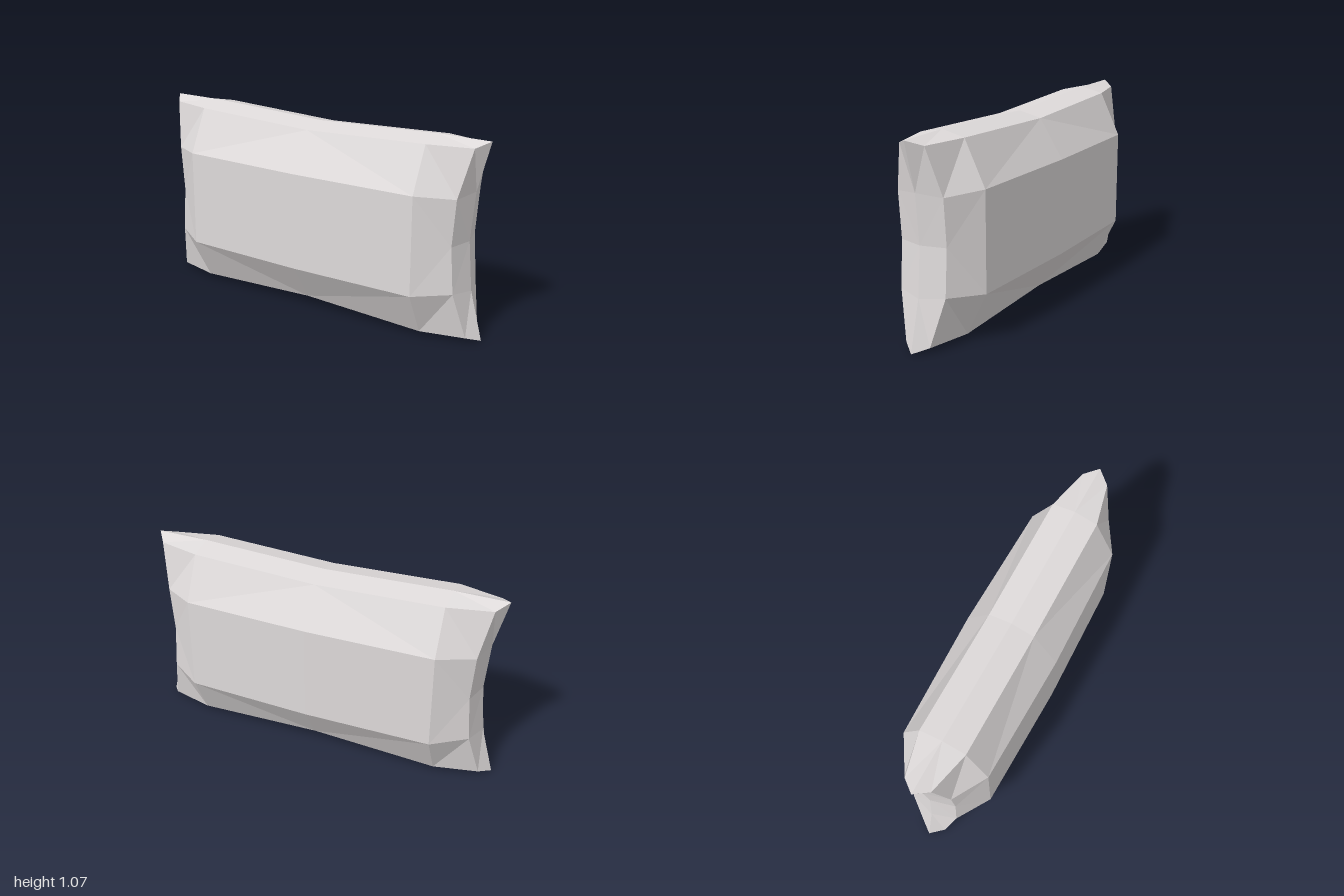
import * as THREE from 'three';

const MID = 0.533; // height of the cushion's centre line

// One quarter of the cushion, heights measured from the centre line
const P = {
  // panel grid: rows a (middle), b (shoulder), c (rim); columns 0 (centre) to 2 (side)
  a0: [0, 0, 0.265], a1: [0.705, 0, 0.247], a2: [0.872, 0, 0.135],
  b0: [0, 0.267, 0.265], b1: [0.705, 0.267, 0.247], b2: [0.89, 0.252, 0.135],
  c0: [0, 0.477, 0.13], c1: [0.705, 0.505, 0.13], c2: [0.943, 0.505, 0.073],
  // seam outline: top centre, top, corner, side, side middle
  s0: [0, 0.505, 0], s1: [0.705, 0.533, 0], s2: [1, 0.533, 0],
  s3: [0.93, 0.267, 0], s4: [0.907, 0, 0],
};

const PANEL = [
  'a0 a1 b1', 'a0 b1 b0', // flat centre
  'b0 b1 c0', 'b1 c1 c0', // top slope
  'a1 a2 b1', 'a2 b2 b1', // side slope
  'b1 b2 c1', 'b2 c2 c1', // corner
];
const BORDER = [
  'c0 c1 s1', 'c0 s1 s0', 'c1 c2 s1', 'c2 s2 s1',
  'c2 b2 s3', 'c2 s3 s2', 'b2 a2 s4', 'b2 s4 s3',
];

// Mirror the quarter in x and y, on the given z sides
function mirrored(triangles, zSides) {
  const pos = [];
  for (const sz of zSides) for (const sx of [1, -1]) for (const sy of [1, -1]) {
    for (const t of triangles) {
      const corners = t.split(' ').map((k) => P[k]);
      if (sx * sy * sz < 0) corners.reverse();
      for (const [x, y, z] of corners) pos.push(x * sx, MID + y * sy, z * sz);
    }
  }
  const geo = new THREE.BufferGeometry();
  geo.setAttribute('position', new THREE.Float32BufferAttribute(pos, 3));
  geo.computeVertexNormals();
  return geo;
}

export function createModel() {
  const group = new THREE.Group();
  group.name = 'pillow';
  const fabric = new THREE.MeshStandardMaterial({ color: 0xdedada, flatShading: true });
  fabric.name = 'pale fabric';

  const add = (name, triangles, zSides) => {
    const mesh = new THREE.Mesh(mirrored(triangles, zSides), fabric);
    mesh.name = name;
    group.add(mesh);
  };
  add('frontPanel', PANEL, [1]);
  add('backPanel', PANEL, [-1]);
  add('seamBorder', BORDER, [1, -1]);
  return group;
}
